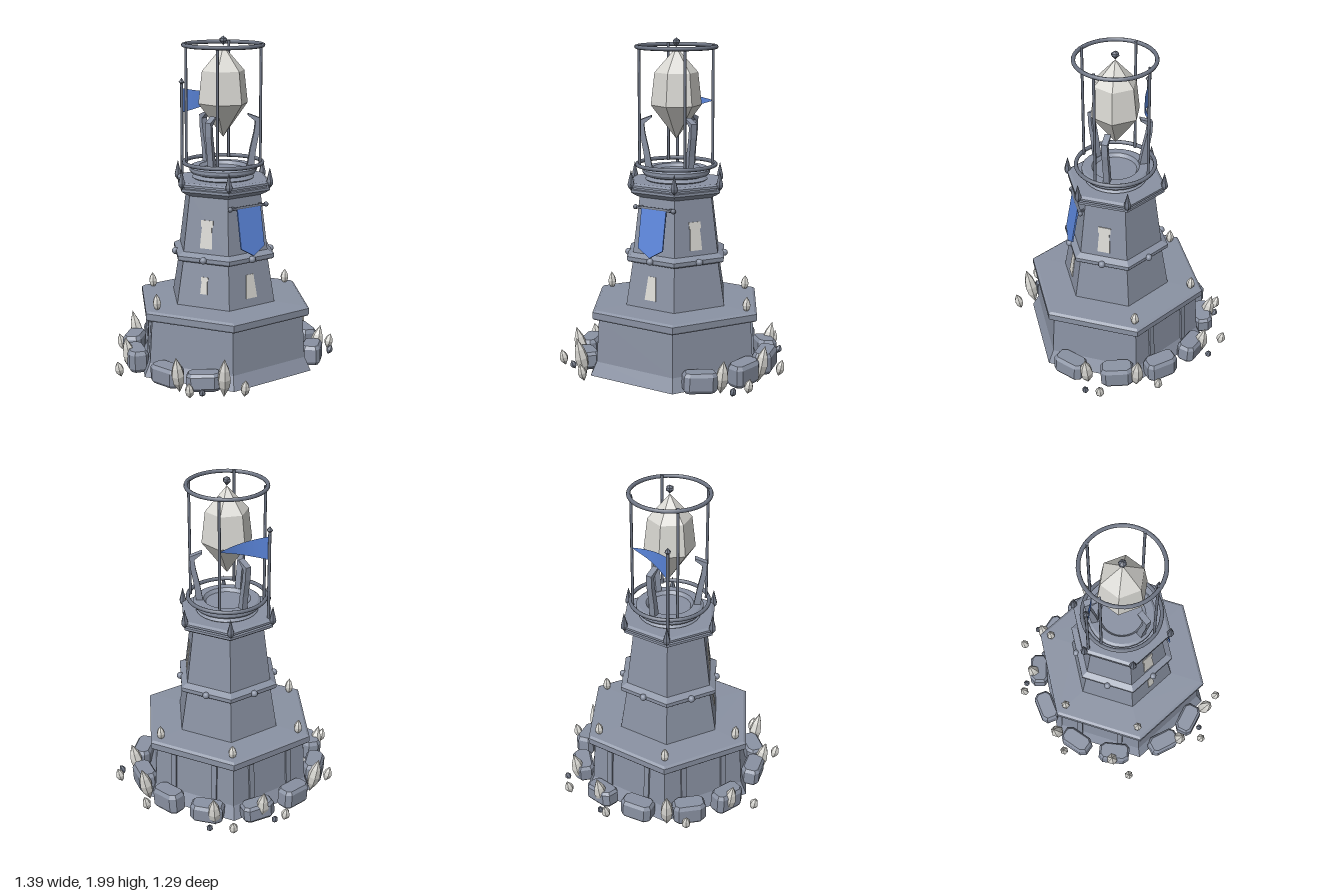
import * as THREE from 'three';
import { toCreasedNormals } from 'three/addons/utils/BufferGeometryUtils.js';

const material = (name, color) => {
  const m = new THREE.MeshStandardMaterial({ color });
  m.name = name;
  return m;
};
const V2 = (pts) => pts.map(([x, y]) => new THREE.Vector2(x, y));
const facet = (g) => {
  const f = g.index ? g.toNonIndexed() : g;
  f.computeVertexNormals();
  return f;
};
const HEX = Math.PI / 6; // puts hexagon corners on the x axis
const hexLathe = (pts, start = HEX) => facet(new THREE.LatheGeometry(V2(pts), 6, start));
const roundLathe = (pts, n = 28) => toCreasedNormals(new THREE.LatheGeometry(V2(pts), n), 0.5);
const plate = (pts, depth) => {
  const g = new THREE.ExtrudeGeometry(new THREE.Shape(V2(pts)), { depth, bevelEnabled: false });
  return g.translate(0, 0, -depth / 2);
};
// Six-sided pointed crystal standing on its lower tip
const shard = (r, h) => hexLathe([[0, 0], [r * 0.85, h * 0.3], [r, h * 0.5], [r * 0.75, h * 0.72], [0, h]]);

export function createModel() {
  const stone = material('stone', 0x8a92a3);
  const metal = material('dark metal', 0x6d7483);
  const crystal = material('pale crystal', 0xdad9d4);
  const blue = material('blue cloth', 0x5b86dc);
  const flagBlue = blue;
  flagBlue.side = THREE.DoubleSide;

  const model = new THREE.Group();
  model.name = 'crystalTower';
  const tower = new THREE.Group();
  tower.name = 'tower';
  tower.position.set(0.007, 0, 0.034);
  model.add(tower);
  const add = (name, geo, mat, parent = tower, x = 0, y = 0, z = 0) => {
    const m = new THREE.Mesh(geo, mat);
    m.name = name;
    m.position.set(x, y, z);
    parent.add(m);
    return m;
  };
  // Lay a part on a sloping wall that faces the given angle
  const onWall = (m, angle, apothem, y, tilt) => {
    m.position.set(Math.sin(angle) * apothem, y, Math.cos(angle) * apothem);
    m.rotation.set(-tilt, angle, 0, 'YXZ');
  };

  // Hollow base with a flared skirt
  add('base', hexLathe([[0, 0.37], [0.49, 0.37], [0.505, 0.13], [0.55, 0.04], [0.57, 0.04],
    [0.53, 0.12], [0.512, 0.38]]), stone);
  add('baseCornice', hexLathe([[0.5, 0.375], [0.545, 0.38], [0.553, 0.39], [0.553, 0.425],
    [0.535, 0.436], [0.32, 0.442]]), stone);

  // Tapering tower body and its bands
  add('lowerTower', hexLathe([[0.336, 0.43], [0.288, 0.71]]), stone);
  add('middleBand', hexLathe([[0.285, 0.695], [0.32, 0.705], [0.328, 0.715], [0.328, 0.735], [0.285, 0.757]]), stone);
  add('upperTower', hexLathe([[0.289, 0.74], [0.24, 1.1]]), stone);
  add('platform', hexLathe([[0.235, 1.08], [0.275, 1.1], [0.298, 1.115], [0.298, 1.13], [0.28, 1.132],
    [0.28, 1.142], [0.304, 1.145], [0.304, 1.158], [0.285, 1.168], [0, 1.168]]), stone);

  for (let i = 0; i < 6; i++) {
    const a = i * Math.PI / 3;
    // Band studs at the middle of each side, spikes at each platform corner
    add('bandStud', new THREE.SphereGeometry(0.021, 12, 8), stone, tower,
      Math.sin(a) * 0.287, 0.725, Math.cos(a) * 0.287);
    add('cornerSpike', hexLathe([[0, 1.125], [0.02, 1.15], [0.022, 1.165], [0, 1.25]]), metal, tower,
      Math.cos(a) * 0.297, 0, Math.sin(a) * 0.297);
  }

  // Pilaster strips on the three rear base walls
  for (const a of [2, 3, 4]) {
    for (const s of [-0.135, 0.135]) {
      const holder = new THREE.Group();
      holder.name = 'basePilaster';
      tower.add(holder);
      onWall(holder, a * Math.PI / 3, 0.452, 0.21, 0.05);
      add('strip', new THREE.BoxGeometry(0.034, 0.32, 0.026), stone, holder, s);
    }
  }

  // Windows
  const windowPts = (w, h) => [[-w, -h], [w, -h], [w * 0.9, 0], [w * 0.8, h * 0.5], [w, h * 0.55],
    [w, h], [-w, h], [-w, h * 0.55], [-w * 0.8, h * 0.5], [-w * 0.9, 0]];
  const upperWindow = plate(windowPts(0.038, 0.083), 0.008);
  for (const a of [1, -1]) {
    onWall(add('upperWindow', upperWindow, crystal), a * Math.PI / 3, 0.236, 0.87, 0.118);
  }
  const lowerWindow = plate([[-0.039, -0.07], [0.039, -0.07], [0.026, 0.07], [-0.026, 0.07]], 0.008);
  onWall(add('lowerFrontWindow', lowerWindow, crystal), 0, 0.272, 0.56, 0.148);
  onWall(add('lowerSideWindow', plate(windowPts(0.022, 0.05), 0.008), crystal), -Math.PI / 3, 0.271, 0.57, 0.148);

  // Banner hanging from a rod
  const rod = add('bannerRod', new THREE.CylinderGeometry(0.009, 0.009, 0.26, 10), metal, tower, 0.003, 1.03, 0.243);
  rod.rotation.z = Math.PI / 2;
  for (const s of [-1, 1]) {
    add('rodKnob', new THREE.SphereGeometry(0.015, 10, 8), metal, tower, 0.003 + s * 0.13, 1.03, 0.243);
    add('rodBracket', new THREE.BoxGeometry(0.014, 0.014, 0.06), metal, tower, 0.003 + s * 0.1, 1.03, 0.222);
  }
  const banner = add('banner', plate([[-0.085, 0], [-0.085, -0.235], [0, -0.285], [0.085, -0.235], [0.085, 0]], 0.009),
    blue, tower, 0.003, 1.03, 0.246);
  banner.rotation.x = -0.17;

  // Round pedestal and the cage around the crystal
  add('pedestal', roundLathe([[0.165, 1.16], [0.185, 1.175], [0.165, 1.192], [0.19, 1.2], [0.2, 1.215],
    [0.2, 1.232], [0.185, 1.242], [0.14, 1.242], [0.125, 1.222], [0, 1.222]]), stone);
  for (const y of [1.26, 1.948]) {
    const ring = add('cageRing', new THREE.TorusGeometry(0.232, 0.012, 8, 40), metal, tower, 0, y);
    ring.rotation.x = Math.PI / 2;
  }
  for (const sx of [-1, 1]) for (const sz of [-1, 1]) {
    add('cagePost', new THREE.CylinderGeometry(0.0085, 0.0085, 0.71, 8), metal, tower, sx * 0.156, 1.604, sz * 0.156);
  }

  // Three curved claws
  const claw = facet(plate([[0.14, 1.225], [0.182, 1.225], [0.193, 1.33], [0.213, 1.44], [0.218, 1.52],
    [0.145, 1.548], [0.145, 1.536], [0.19, 1.5], [0.183, 1.44], [0.16, 1.34]], 0.036));
  for (let i = 0; i < 3; i++) {
    add('claw', claw, stone).rotation.y = Math.PI / 2 + i * Math.PI * 2 / 3;
  }

  // Floating great crystal and its finial
  add('greatCrystal', hexLathe([[0, 1.41], [0.15, 1.61], [0.128, 1.8], [0, 1.945]], 0.16), crystal);
  add('finial', hexLathe([[0, 1.945], [0.024, 1.972], [0.022, 1.985], [0, 2]]), metal);

  // Flagpole with a waving pennant
  add('flagpole', new THREE.CylinderGeometry(0.009, 0.009, 0.56, 8), metal, model, -0.13, 1.43, -0.195);
  add('flagpoleTip', hexLathe([[0, 1.7], [0.019, 1.72], [0, 1.745]]), metal, model, -0.13, 0, -0.195);
  const flag = new THREE.PlaneGeometry(1, 1, 8, 1);
  const p = flag.attributes.position;
  for (let i = 0; i < p.count; i++) {
    const t = p.getX(i) + 0.5;
    p.setXYZ(i, -0.13 + 0.29 * t, 1.61 + 0.02 * t + p.getY(i) * 0.145 * (1 - 0.97 * t),
      -0.195 + 0.07 * t + 0.025 * Math.sin(t * Math.PI));
  }
  flag.computeVertexNormals();
  add('pennant', flag, flagBlue, model);

  // Boulders round the base: x, z, turn about y
  const rocks = [[-0.11, -0.5, 0.17], [0.15, -0.5, -0.2], [0.41, -0.345, -0.8], [0.535, -0.12, -1.35],
    [0.54, 0.15, 1.35], [0.4, 0.41, 0.75], [-0.395, 0.4, -0.7], [-0.51, 0.2, -1.3], [-0.515, -0.13, 1.25],
    [-0.385, -0.35, 0.75]];
  const outline = new THREE.Shape(V2([[-0.085, -0.03], [-0.065, -0.045], [0.06, -0.045], [0.085, -0.025],
    [0.085, 0.025], [0.065, 0.045], [-0.06, 0.045], [-0.085, 0.025]]));
  const boulder = facet(new THREE.ExtrudeGeometry(outline, { depth: 0.085, bevelSize: 0.013,
    bevelThickness: 0.022, bevelSegments: 1 }).rotateX(-Math.PI / 2));
  rocks.forEach(([x, z, turn], i) => {
    const b = add('boulder', boulder, stone, model, x, 0.062, z);
    b.rotation.set(0.05 * Math.sin(i * 2), turn, 0.06 * Math.cos(i * 3), 'YXZ');
    b.scale.y = 0.92 + 0.12 * Math.sin(i * 5);
  });

  // Crystals at ground level lean outwards; x and z mark their middles
  const plant = (name, list, r, h, y, lean, mat) => list.forEach(([x, z], i) => {
    const d = Math.hypot(x, z), k = lean * h * 0.5 / d;
    const c = add(name, shard(r, h * (1 + 0.08 * Math.sin(i * 4))), mat, model, x * (1 - k), y, z * (1 - k));
    c.quaternion.setFromUnitVectors(new THREE.Vector3(0, 1, 0),
      new THREE.Vector3(x / d * lean, 1, z / d * lean).normalize());
  });
  plant('largeCrystal', [[0.14, -0.535], [0.405, -0.415], [-0.3, -0.465], [-0.555, -0.15], [-0.515, 0.31],
    [-0.345, 0.525], [0.505, 0.335], [0.6, 0.045]], 0.04, 0.235, 0.015, 0.22, crystal);
  plant('smallCrystal', [[0.035, -0.625], [0.365, -0.56], [-0.425, -0.445], [-0.675, -0.065], [-0.535, 0.455],
    [-0.27, 0.62], [0.65, 0.285], [0.665, -0.07]], 0.027, 0.105, 0.035, 0.25, crystal);
  plant('stoneShard', [[0.095, -0.6], [0.46, -0.45], [0.59, 0.36], [-0.455, 0.465]], 0.02, 0.06, 0.03, 0.4, metal);
  plant('ledgeCrystal', [[-0.23, -0.38], [0.25, -0.38], [-0.47, 0.033], [0.49, 0.033]], 0.026, 0.105, 0.42, 0.05, crystal);

  return model;
}
